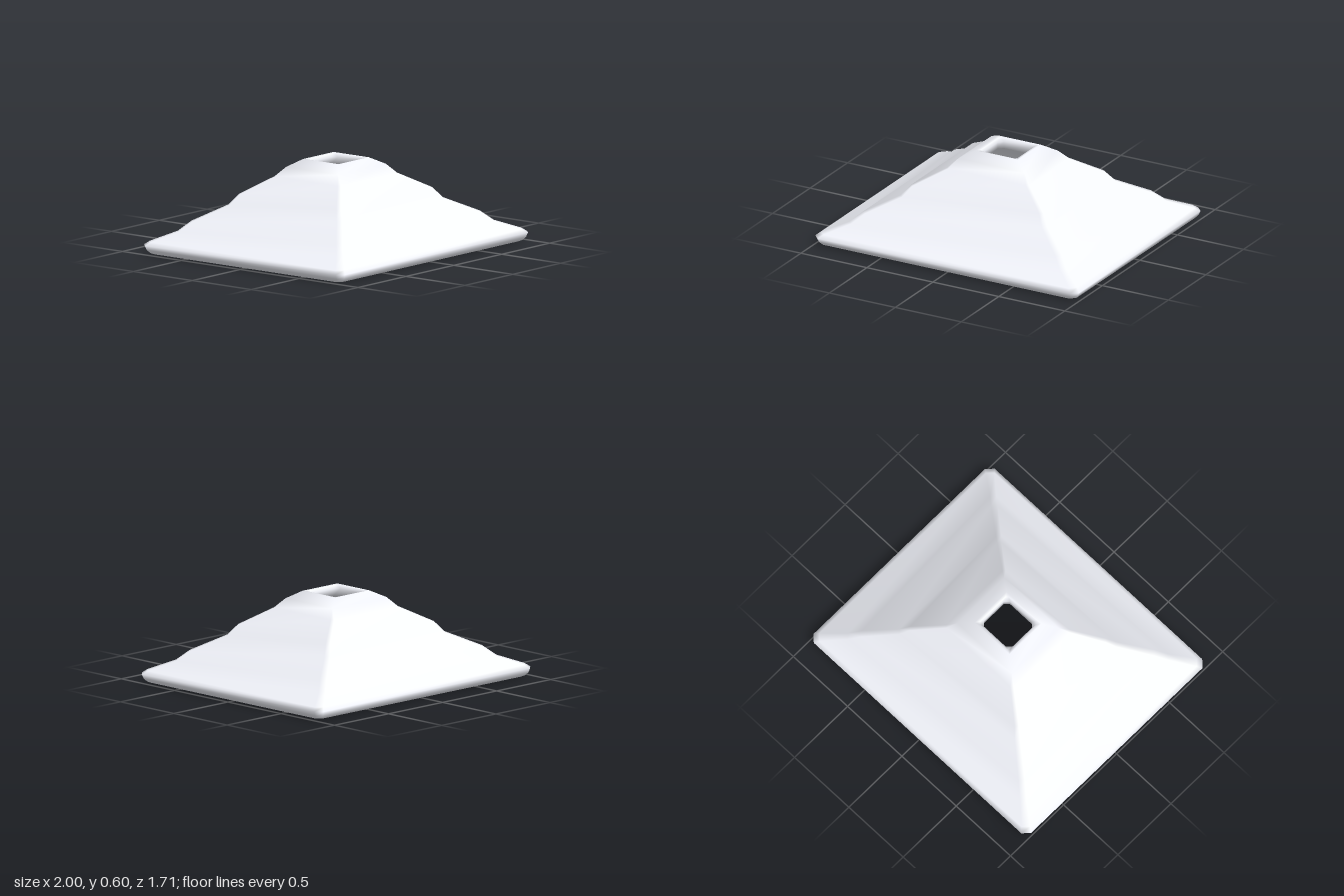
import * as THREE from 'three';
import { mergeVertices } from 'three/addons/utils/BufferGeometryUtils.js';

// Hollow stepped roof: [half width x, half depth z, y, corner chamfer], from the
// lip up the outside, over the opening and back down the inside.
// A chamfer of 0 makes one shared corner, which rounds the hip's shading.
const PROFILE = [
  [0.968, 0.823, 0.01, 0.035], [0.985, 0.84, 0.03, 0.035],
  [1.0, 0.853, 0.06, 0.045], [0.97, 0.825, 0.083, 0.04],
  [0.82, 0.70, 0.145, 0.03], [0.75, 0.64, 0.21, 0.03],
  [0.555, 0.48, 0.31, 0.025], [0.50, 0.43, 0.38, 0.02],
  [0.31, 0.28, 0.488, 0.015], [0.25, 0.22, 0.55, 0],
  [0.16, 0.15, 0.598, 0], [0.14, 0.135, 0.595, 0.015],
  [0.13, 0.122, 0.575, 0.03], [0.13, 0.122, 0.53, 0.03],
  [0.22, 0.19, 0.505, 0], [0.28, 0.25, 0.445, 0],
  [0.47, 0.40, 0.335, 0.02], [0.525, 0.45, 0.265, 0.025],
  [0.72, 0.61, 0.165, 0.03], [0.79, 0.67, 0.10, 0.03],
  [0.92, 0.775, 0.04, 0.03], [0.945, 0.80, 0.0, 0.03],
];

// Chamfered rectangle, counter-clockwise from above
function ring([w, d, y, c]) {
  return [
    [w, d - c], [w, c - d], [w - c, -d], [c - w, -d],
    [-w, c - d], [-w, d - c], [c - w, d], [w - c, d],
  ].flatMap(([x, z]) => [x, y, z]);
}

export function createModel() {
  const group = new THREE.Group();
  group.name = 'roof';
  const sides = 8, rows = PROFILE.length;
  const index = [];
  for (let i = 0; i < rows; i++) {
    const next = (i + 1) % rows;
    for (let j = 0; j < sides; j++) {
      const k = (j + 1) % sides;
      const a = i * sides + j, b = i * sides + k;
      const c = next * sides + k, d = next * sides + j;
      index.push(a, b, c, a, c, d);
    }
  }
  const rings = new THREE.BufferGeometry();
  rings.setAttribute('position', new THREE.Float32BufferAttribute(PROFILE.flatMap(ring), 3));
  rings.setIndex(index);
  const geometry = mergeVertices(rings);
  geometry.computeVertexNormals();

  const shell = new THREE.Mesh(geometry, new THREE.MeshStandardMaterial({ color: 0xf1f3fa }));
  shell.name = 'roofShell';
  group.add(shell);
  return group;
}
